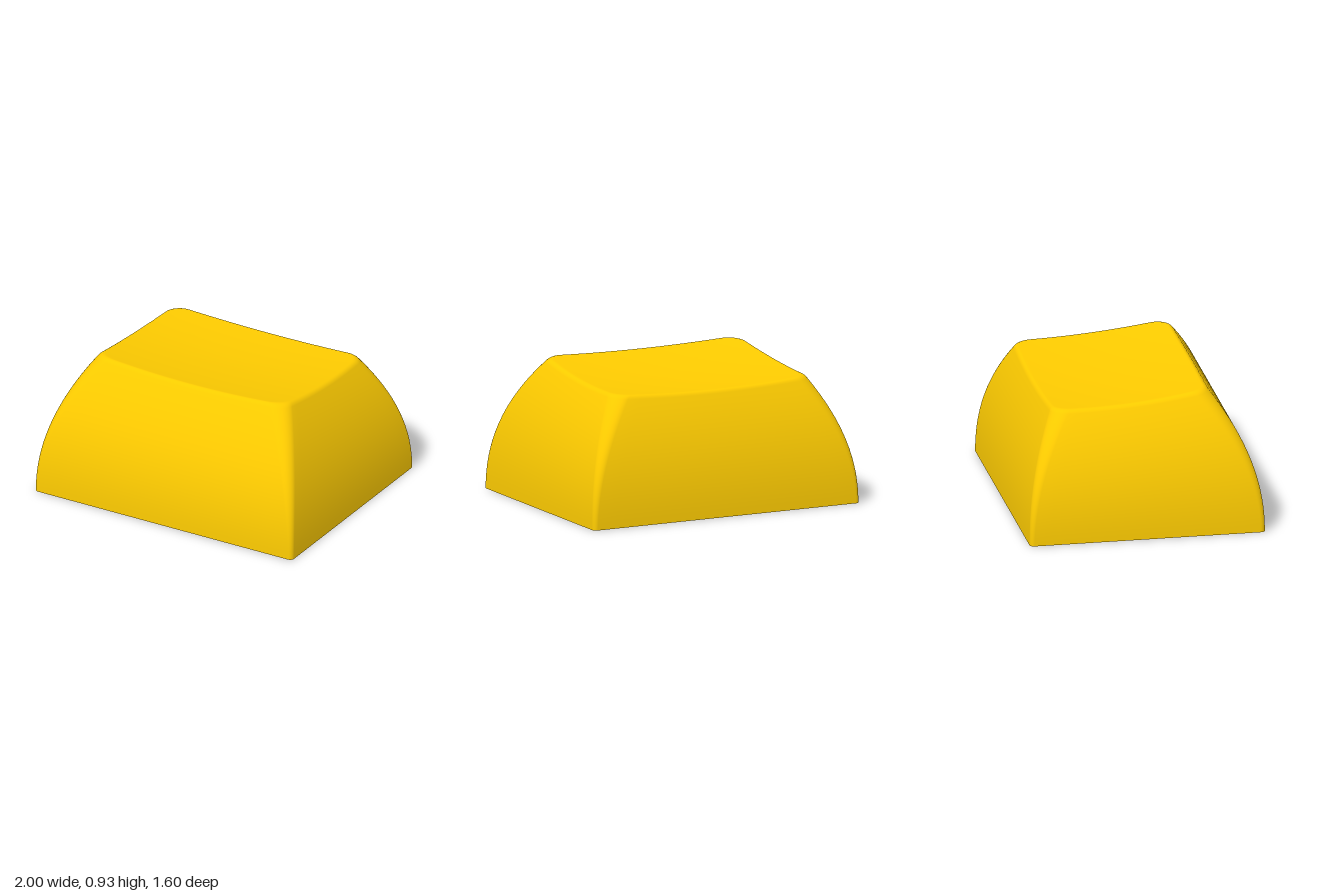
import * as THREE from 'three';

const COLOR = 0xfdcb00;
const CORNER = 8, SIDE = 14;      // segments per rounded corner and per straight side
const CENTER_Z = -0.06;           // middle of the dished top
const WALL = 0.135, LID = 0.1;    // thickness of the sides and of the top

// Rounded rectangle in x/z, running from +x towards +z; zf and zb are the front and back extents
function outlinePoint(j, hx, zf, zb, r, y) {
  const per = CORNER + SIDE;
  const q = Math.floor(j / per) % 4, i = j % per;
  const arc = (quad, a) => {
    const sx = quad === 0 || quad === 3 ? 1 : -1;
    const cz = quad < 2 ? zf - r : zb + r;
    const ang = (quad + a) * Math.PI / 2;
    return new THREE.Vector3(sx * (hx - r) + r * Math.cos(ang), y, cz + r * Math.sin(ang));
  };
  if (i <= CORNER) return arc(q, i / CORNER);
  return arc(q, 1).lerp(arc((q + 1) % 4, 0), (i - CORNER) / SIDE);
}
const COUNT = 4 * (CORNER + SIDE);
const ring = (fn) => Array.from({ length: COUNT }, (_, j) => fn(j));

// Curved wall at height y; the width follows the tilt of the top
function curvedWall(j, y, profileY, inset, r) {
  const zf = 0.8 - 0.395 * profileY ** 2.2 - inset;
  const zb = -0.8 + 0.3 * profileY ** 2.2 + inset;
  const { z } = outlinePoint(j, 1, zf, zb, r, y);
  const tilted = profileY * (1 - 0.095 * (z - CENTER_Z));
  return outlinePoint(j, 1 - 0.345 * tilted ** 2.2 - inset, zf, zb, r, y);
}
const outerWall = (j, y) => curvedWall(j, y, y, 0, 0.03 + 0.1 * y ** 1.5);
const innerWall = (j, y) => curvedWall(j, y, y * 1.12, WALL, 0);

// Tilted, dished top surface
const topHeight = (x, z) => 0.847 + 0.0833 * (z - CENTER_Z)
  + 0.026 * ((x / 0.7) ** 2 + ((z - CENTER_Z) / 0.51) ** 2);

// Ring where a wall meets the top surface lowered by drop
const meetTop = (wall, drop) => ring((j) => {
  let y = 0.9 - drop;
  for (let k = 0; k < 6; k++) {
    const p = wall(j, y);
    y = topHeight(p.x, p.z) - drop;
  }
  return wall(j, y);
});

// Point on that surface, pulled from the edge point p towards the middle
function onTop(p, s, drop) {
  const x = p.x * s, z = CENTER_Z + (p.z - CENTER_Z) * s;
  return new THREE.Vector3(x, topHeight(x, z) - drop, z);
}

// Joins consecutive closed rings of points
function skin(rings) {
  const n = rings[0].length, index = [];
  for (let i = 0; i < rings.length - 1; i++) {
    for (let j = 0; j < n; j++) {
      const a = i * n + j, b = i * n + (j + 1) % n;
      index.push(a, a + n, b, b, a + n, b + n);
    }
  }
  const geo = new THREE.BufferGeometry().setFromPoints(rings.flat());
  geo.setIndex(index);
  geo.computeVertexNormals();
  return geo;
}

function outerShell() {
  const edge = meetTop(outerWall, 0);
  const rings = [];
  const wallTop = (j) => edge[j].y - 0.025;
  for (let i = 0; i <= 16; i++) rings.push(ring((j) => outerWall(j, wallTop(j) * i / 16)));
  // Soft top edge
  for (let i = 1; i <= 6; i++) {
    rings.push(ring((j) => new THREE.QuadraticBezierCurve3(
      outerWall(j, wallTop(j)), edge[j], onTop(edge[j], 0.965, 0)).getPoint(i / 6)));
  }
  // Dish
  for (const s of [0.94, 0.86, 0.76, 0.64, 0.5, 0.35, 0.2, 0.08, 0.001]) {
    rings.push(edge.map((p) => onTop(p, s, 0)));
  }
  return skin(rings);
}

// Round post with a cross-shaped socket and a fine chamfer
function stemGeometry() {
  const shape = new THREE.Shape().absarc(0, 0, 0.23, 0, Math.PI * 2, false);
  const L = 0.18, w = 0.06, bevel = 0.012;
  const cross = [[L, -w], [L, w], [w, w], [w, L], [-w, L], [-w, w],
    [-L, w], [-L, -w], [-w, -w], [-w, -L], [w, -L], [w, -w]];
  shape.holes.push(new THREE.Path(cross.map(([x, y]) => new THREE.Vector2(x, y)).reverse()));
  const geo = new THREE.ExtrudeGeometry(shape, {
    depth: 0.75, curveSegments: 32,
    bevelThickness: bevel, bevelSize: bevel, bevelOffset: -bevel, bevelSegments: 1,
  });
  return geo.translate(0, 0, bevel).rotateX(-Math.PI / 2);
}

export function createModel() {
  const group = new THREE.Group();
  group.name = 'keycap';
  const material = new THREE.MeshStandardMaterial({ color: COLOR });
  const add = (name, geo) => {
    const mesh = new THREE.Mesh(geo, material);
    mesh.name = name;
    group.add(mesh);
  };
  add('outerShell', outerShell());
  add('bottomRim', skin([ring((j) => innerWall(j, 0)), ring((j) => outerWall(j, 0))]));

  // Hollow underneath: ceiling parallel to the top, walls curved like the outside
  const ceilingEdge = meetTop(innerWall, LID);
  add('innerCeiling', skin([0.001, 0.25, 0.5, 0.75, 1]
    .map((s) => ceilingEdge.map((p) => onTop(p, s, LID)))));
  const steps = Array.from({ length: 13 }, (_, i) => 1 - i / 12);
  add('innerWalls', skin(steps.map((s) => ring((j) => innerWall(j, ceilingEdge[j].y * s)))));

  add('stem', stemGeometry());
  return group;
}
